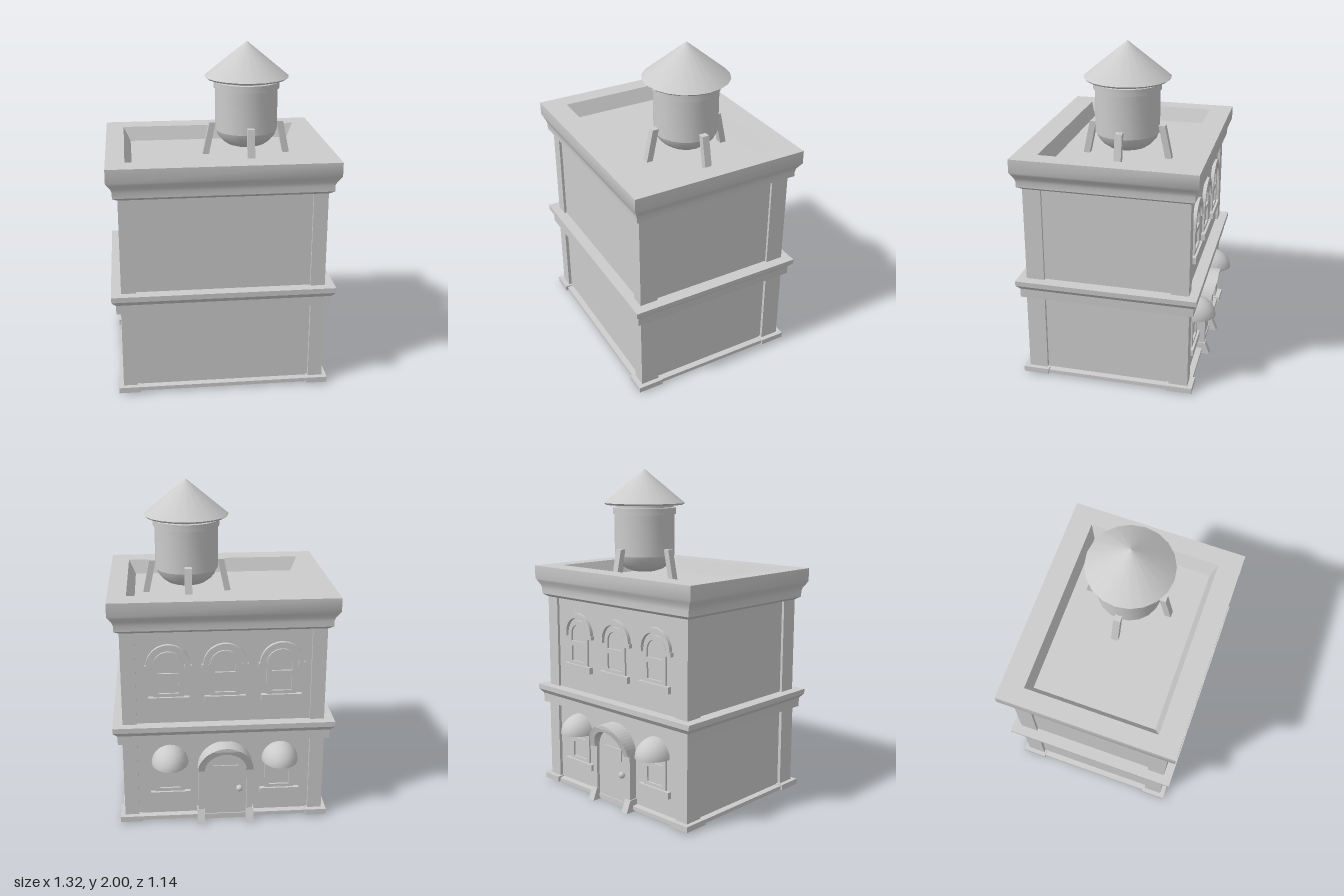
import * as THREE from 'three';
import { toCreasedNormals } from 'three/addons/utils/BufferGeometryUtils.js';

const CZ = 0.034; // the building's middle in z
const material = new THREE.MeshStandardMaterial({ color: 0xcccccc });
const openMaterial = new THREE.MeshStandardMaterial({ color: 0xcccccc, side: THREE.DoubleSide });

function add(parent, name, geometry, x = 0, y = 0, z = 0, mat = material) {
  const mesh = new THREE.Mesh(geometry, mat);
  mesh.name = name;
  mesh.position.set(x, y, z);
  parent.add(mesh);
  return mesh;
}

function group(parent, name, x = 0, y = 0, z = 0) {
  const g = new THREE.Group();
  g.name = name;
  g.position.set(x, y, z);
  parent.add(g);
  return g;
}

const box = (w, h, d) => new THREE.BoxGeometry(w, h, d);

// Box given by its limits
function slab(parent, name, x0, x1, y0, y1, z0, z1) {
  return add(parent, name, box(x1 - x0, y1 - y0, z1 - z0), (x0 + x1) / 2, (y0 + y1) / 2, (z0 + z1) / 2);
}

// Rectangular rings [halfX, halfZ, y] joined by faces
function rectLoft(rings) {
  const corners = [[1, 1], [1, -1], [-1, -1], [-1, 1]];
  const points = rings.map(([hx, hz, y]) => corners.map(([sx, sz]) => [sx * hx, y, sz * hz]));
  const pos = [];
  for (let i = 0; i < points.length - 1; i++) {
    const a = points[i], b = points[i + 1];
    for (let j = 0; j < 4; j++) {
      const k = (j + 1) % 4;
      for (const p of [a[j], a[k], b[k], a[j], b[k], b[j]]) pos.push(...p);
    }
  }
  const geometry = new THREE.BufferGeometry();
  geometry.setAttribute('position', new THREE.Float32BufferAttribute(pos, 3));
  geometry.computeVertexNormals();
  return toCreasedNormals(geometry, 0.6);
}

function moveVertices(geometry, rule) {
  const p = geometry.attributes.position;
  const v = new THREE.Vector3();
  for (let i = 0; i < p.count; i++) {
    rule(v.fromBufferAttribute(p, i));
    p.setXYZ(i, v.x, v.y, v.z);
  }
  geometry.computeVertexNormals();
  return geometry;
}

function lathe(points, segments = 20) {
  const g = new THREE.LatheGeometry(points.map(([r, y]) => new THREE.Vector2(r, y)), segments);
  return toCreasedNormals(g, 0.5);
}

// Outline with straight sides from y = bottom and a round head centred on y = 0
function arch(r, bottom, Type = THREE.Shape) {
  const s = new Type();
  s.moveTo(-r, bottom);
  s.lineTo(r, bottom);
  s.lineTo(r, 0);
  s.absarc(0, 0, r, 0, Math.PI, false);
  s.closePath();
  return s;
}

function halfRing(outer, inner) {
  const s = new THREE.Shape();
  s.absarc(0, 0, outer, 0, Math.PI, false);
  s.absarc(0, 0, inner, Math.PI, 0, true);
  s.closePath();
  return s;
}

const extrude = (shape, depth) => toCreasedNormals(
  new THREE.ExtrudeGeometry(shape, { depth, bevelEnabled: false, curveSegments: 12 }), 0.5);

function addWindow(parent, x, y, awning) {
  const w = group(parent, awning ? 'awningWindow' : 'archedWindow', x, y, 0);
  const frame = arch(0.088, -0.19);
  frame.holes.push(arch(0.06, -0.045, THREE.Path));
  const pane = new THREE.Path();
  pane.moveTo(-0.06, -0.17);
  pane.lineTo(0.06, -0.17);
  pane.lineTo(0.06, -0.075);
  pane.lineTo(-0.06, -0.075);
  pane.closePath();
  frame.holes.push(pane);
  add(w, 'windowFrame', extrude(frame, 0.012));
  add(w, 'windowSill', box(0.24, 0.04, 0.03), 0, -0.21, 0.01);
  if (awning) {
    const dome = new THREE.SphereGeometry(1, 12, 6, 0, Math.PI, 0, Math.PI / 2);
    add(w, 'awning', dome.scale(0.11, 0.115, 0.136), 0, 0, 0, openMaterial);
  } else {
    add(w, 'windowHood', extrude(halfRing(0.128, 0.098), 0.022), 0, 0.005);
    for (const s of [-1, 1]) add(w, 'hoodEnd', box(0.04, 0.025, 0.022), s * 0.116, -0.005, 0.011);
  }
}

function addDoor(parent) {
  const d = group(parent, 'doorway', 0, 0.345, 0);
  add(d, 'door', extrude(arch(0.128, -0.345), 0.03));
  add(d, 'doorPanel', box(0.15, 0.075, 0.01), 0, -0.02, 0.032);
  add(d, 'doorKnob', new THREE.SphereGeometry(0.02, 12, 8), 0.085, -0.135, 0.042);
  // Hood leans outwards towards its crown
  const hood = moveVertices(extrude(halfRing(0.165, 0.125), 0.065), v => {
    if (v.z > 0.03) v.z += 0.043 * Math.min(1, v.y / 0.14);
  });
  add(d, 'doorHood', hood);
  for (const s of [-1, 1]) {
    add(d, 'doorJamb', box(0.036, 0.28, 0.05), s * 0.145, -0.14, 0.025);
    const foot = moveVertices(box(0.045, 0.075, 0.055), v => {
      if (v.z > 0 && v.y < 0) v.z += 0.03;
    });
    add(d, 'jambFoot', foot, s * 0.148, -0.3075, 0.0275);
  }
}

function addWaterTower(parent) {
  const t = group(parent, 'waterTower', 0.191, 0, 0.002);
  add(t, 'tankBowl', lathe([[0, 1.365], [0.07, 1.37], [0.115, 1.385], [0.147, 1.408], [0.174, 1.44], [0.185, 1.475]]));
  add(t, 'tankBody', lathe([[0.18, 1.47], [0.189, 1.47], [0.189, 1.725]]));
  add(t, 'tankBand', lathe([[0.186, 1.725], [0.198, 1.725], [0.198, 1.765], [0.18, 1.768]]));
  add(t, 'tankNeck', lathe([[0.182, 1.76], [0.182, 1.795]]));
  add(t, 'tankRoof', lathe([[0.17, 1.79], [0.24, 1.782], [0.253, 1.793], [0, 2]]));
  for (let i = 0; i < 4; i++) {
    const leg = group(t, 'towerLeg');
    leg.rotation.y = i * Math.PI / 2;
    const g = moveVertices(box(0.038, 0.2, 0.042), v => { v.x -= v.y * 0.21; });
    add(leg, 'legPost', g, 0.227, 1.416, 0);
  }
}

export function createModel() {
  const model = new THREE.Group();
  model.name = 'building';

  // Hollow walls with plinth, string course, cornice, parapet and roof
  const shell = rectLoft([
    [0.58, 0.47, 0.013], [0.615, 0.505, 0.013], [0.615, 0.505, 0.036], [0.58, 0.47, 0.04],
    [0.58, 0.47, 0.53], [0.626, 0.518, 0.53], [0.628, 0.518, 0.585], [0.652, 0.538, 0.612],
    [0.654, 0.538, 0.643], [0.58, 0.47, 0.643], [0.58, 0.47, 1.21], [0.598, 0.488, 1.212],
    [0.625, 0.512, 1.23], [0.625, 0.512, 1.265], [0.632, 0.517, 1.285], [0.648, 0.528, 1.308],
    [0.659, 0.537, 1.325], [0.659, 0.537, 1.405], [0.55, 0.402, 1.405], [0.508, 0.37, 1.32], [0, 0, 1.32]]);
  add(model, 'wallsAndRoof', shell, 0, 0, CZ, openMaterial);

  // Corner strips: [name, outer halves, width on x and z faces, y from, y to]
  const strips = [
    ['lowerPilaster', 0.6, 0.49, 0.515, 0.378, 0.03, 0.535],
    ['upperPilaster', 0.596, 0.486, 0.511, 0.378, 0.64, 1.214],
    ['cornerPlinth', 0.627, 0.52, 0.5, 0.365, 0.011, 0.045]];
  for (const [name, hx, hz, ix, iz, y0, y1] of strips) {
    for (const sx of [-1, 1]) for (const sz of [-1, 1]) {
      const corner = group(model, name, 0, 0, CZ);
      const xs = (a, b) => (sx > 0 ? [a, b] : [-b, -a]);
      const zs = (a, b) => (sz > 0 ? [a, b] : [-b, -a]);
      slab(corner, name + 'Side', ...xs(0.58, hx), y0, y1, ...zs(iz, hz));
      slab(corner, name + 'Face', ...xs(ix, 0.58), y0, y1, ...zs(0.47, hz));
    }
  }

  // Street side with windows and door
  const facade = group(model, 'facade', -0.007, 0, CZ - 0.47);
  facade.rotation.y = Math.PI;
  for (const x of [-0.33, 0, 0.33]) addWindow(facade, x, 1.002, false);
  for (const x of [-0.33, 0.33]) addWindow(facade, x, 0.382, true);
  addDoor(facade);

  addWaterTower(model);
  return model;
}
